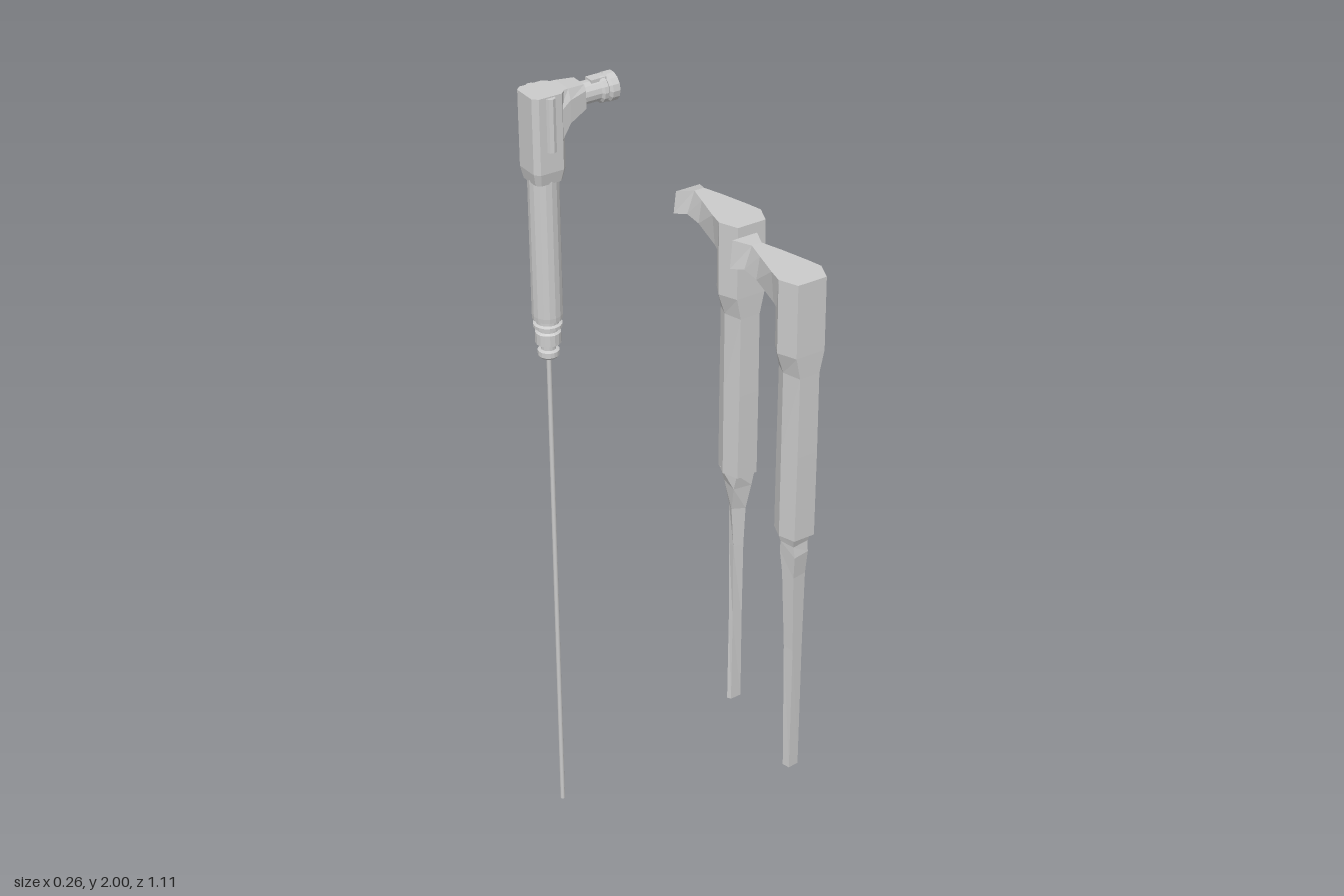
import * as THREE from 'three';

const flat = new THREE.MeshStandardMaterial({ color: 0xcccccc, flatShading: true });
const smooth = new THREE.MeshStandardMaterial({ color: 0xcccccc });

function add(group, name, geometry, x = 0, y = 0, z = 0, material = flat) {
  const mesh = new THREE.Mesh(geometry, material);
  mesh.name = name;
  mesh.position.set(x, y, z);
  group.add(mesh);
  return mesh;
}

// Closed skin through rings of [x, y, z] points; the signed volume decides the winding.
function loft(rings) {
  const n = rings[0].length, tris = [];
  for (let r = 0; r + 1 < rings.length; r++) {
    for (let i = 0; i < n; i++) {
      const j = (i + 1) % n;
      const a = rings[r][i], b = rings[r][j], c = rings[r + 1][j], d = rings[r + 1][i];
      tris.push([a, b, c], [a, c, d]);
    }
  }
  const first = rings[0], last = rings[rings.length - 1];
  for (let i = 1; i + 1 < n; i++) {
    tris.push([first[0], first[i + 1], first[i]], [last[0], last[i], last[i + 1]]);
  }
  const V = (p) => new THREE.Vector3(...p);
  const volume = tris.reduce((s, t) => s + V(t[0]).dot(V(t[1]).cross(V(t[2]))), 0);
  if (volume < 0) tris.forEach((t) => t.reverse());
  const geometry = new THREE.BufferGeometry();
  geometry.setAttribute('position', new THREE.Float32BufferAttribute(tris.flat(2), 3));
  geometry.computeVertexNormals();
  return geometry;
}

// Six-sided grip section: flat front, widest in the middle, flat back.
function gripRing(y, halfWidth, front, back) {
  const f = halfWidth * 0.66;
  return [[-f, y, front], [f, y, front], [halfWidth, y, 0], [f, y, back], [-f, y, back], [-halfWidth, y, 0]];
}

// Diamond-cornered blade section, turned by an angle.
function bladeRing(y, hx, hz, turn, x = 0, z = 0) {
  return [[-1, -0.7], [0.7, -1], [1, 0.7], [-0.7, 1]].map(([u, v]) => {
    const a = u * hx, b = v * hz;
    return [x + a * Math.cos(turn) - b * Math.sin(turn), y, z + a * Math.sin(turn) + b * Math.cos(turn)];
  });
}

// Arm section facing -z, narrow on top.
function armRing(z, top, bottom, y0, y1) {
  return [[-bottom, y0, z], [bottom, y0, z], [top, y1, z], [-top, y1, z]];
}

function simpleTool(name, x, z, tipTop, blade) {
  const tool = new THREE.Group();
  tool.name = name;
  tool.position.set(x, 0, z);
  add(tool, 'grip', loft([
    gripRing(1.395, 0.038, 0.037, -0.035),
    gripRing(1.6, 0.037, 0.04, -0.034),
    gripRing(1.785, 0.036, 0.041, -0.032),
    gripRing(1.835, 0.052, 0.042, -0.032),
    gripRing(2, 0.052, 0.042, -0.032),
  ]));
  add(tool, 'arm', loft([
    armRing(0, 0.052, 0.045, 1.92, 2),
    armRing(-0.035, 0.044, 0.038, 1.93, 2),
    armRing(-0.1, 0.026, 0.034, 1.95, 2),
    armRing(-0.148, 0.012, 0.03, 1.95, 1.999),
    armRing(-0.19, 0.03, 0.036, 1.935, tipTop),
  ]));
  add(tool, 'blade', loft(blade.map((r) => bladeRing(...r))));
  return tool;
}

function detailedTool() {
  const tool = new THREE.Group();
  tool.name = 'detailedTool';
  tool.position.set(-0.06, 0, -0.5);

  add(tool, 'rod', new THREE.CylinderGeometry(0.006, 0.006, 1.34, 10), 0, 0.67, 0, smooth);

  // Barrel with stepped collars at its lower end
  const profile = [
    [0, 1.325], [0.022, 1.325], [0.026, 1.33], [0.026, 1.343], [0.018, 1.346], [0.018, 1.36],
    [0.031, 1.363], [0.031, 1.392], [0.025, 1.396], [0.025, 1.403], [0.035, 1.406], [0.035, 1.414],
    [0.028, 1.417], [0.028, 1.425], [0.036, 1.428], [0.037, 1.44], [0.037, 1.8], [0, 1.8],
  ].map(([r, y]) => new THREE.Vector2(r, y));
  add(tool, 'barrel', new THREE.LatheGeometry(profile, 16));

  // Head block, chamfered and necked down to the barrel
  const block = (y, s) => [[-0.042, -0.03], [-0.03, -0.042], [0.03, -0.042], [0.042, -0.03],
    [0.042, 0.03], [0.03, 0.042], [-0.03, 0.042], [-0.042, 0.03]].map(([x, z]) => [x * s, y, z * s]);
  add(tool, 'head', loft([block(1.785, 0.85), block(1.815, 1), block(2, 1)]));

  // Shoulder running from the head to the connector
  const shoulder = (x, hz, y0, y1) => [[x, y0, -hz], [x, y0, hz], [x, (y0 + y1) / 2 + 0.015, hz],
    [x, y1, hz * 0.75], [x, y1, -hz * 0.75], [x, (y0 + y1) / 2 + 0.015, -hz]];
  add(tool, 'shoulder', loft([
    shoulder(0.02, 0.041, 1.87, 2), shoulder(0.055, 0.037, 1.92, 2), shoulder(0.1, 0.03, 1.94, 1.997),
  ]));

  // Rounded ribs on both sides of the head
  for (const side of [-1, 1]) {
    add(tool, 'sideRib', new THREE.CylinderGeometry(0.012, 0.012, 0.13, 8), 0, 1.932, side * 0.041);
  }

  // Turned connector with a recess and a locking tab
  const turned = [
    [0, 0.08], [0.027, 0.08], [0.027, 0.145], [0.033, 0.15], [0.033, 0.16],
    [0.028, 0.164], [0.035, 0.17], [0.035, 0.188], [0.028, 0.19], [0, 0.188],
  ].map(([r, y]) => new THREE.Vector2(r, y));
  add(tool, 'connector', new THREE.LatheGeometry(turned, 14), 0, 1.965, 0).rotation.z = -Math.PI / 2;
  add(tool, 'lockingTab', new THREE.BoxGeometry(0.04, 0.012, 0.026), 0.145, 1.99, 0);
  return tool;
}

export function createModel() {
  const model = new THREE.Group();
  model.name = 'toolSet';
  model.add(detailedTool());

  // Blade rows: height, half width, half depth, turn, x and z offsets
  model.add(simpleTool('frontSimpleTool', -0.081, 0.511, 1.998, [
    [0.78, 0.015, 0.01, 0, 0.003, 0.004],
    [1.1, 0.016, 0.015, 0, 0.002, 0.004],
    [1.29, 0.02, 0.019, 0, 0, 0.003],
    [1.345, 0.023, 0.026, 0, 0, 0.002],
    [1.37, 0.024, 0.021, 0, 0, 0.002],
    [1.4, 0.032, 0.03, 0, 0, 0.002],
  ]));
  model.add(simpleTool('middleSimpleTool', -0.04, 0.245, 1.985, [
    [0.78, 0.016, 0.005, 0, 0, -0.003],
    [1.0, 0.014, 0.006, 0.1, 0, -0.001],
    [1.2, 0.014, 0.01, 0.3, 0, 0],
    [1.3, 0.018, 0.015, 0.6, 0, 0.002],
    [1.36, 0.025, 0.026, 0.3, 0, 0.003],
    [1.4, 0.032, 0.03, 0, 0, 0.002],
  ]));
  return model;
}
